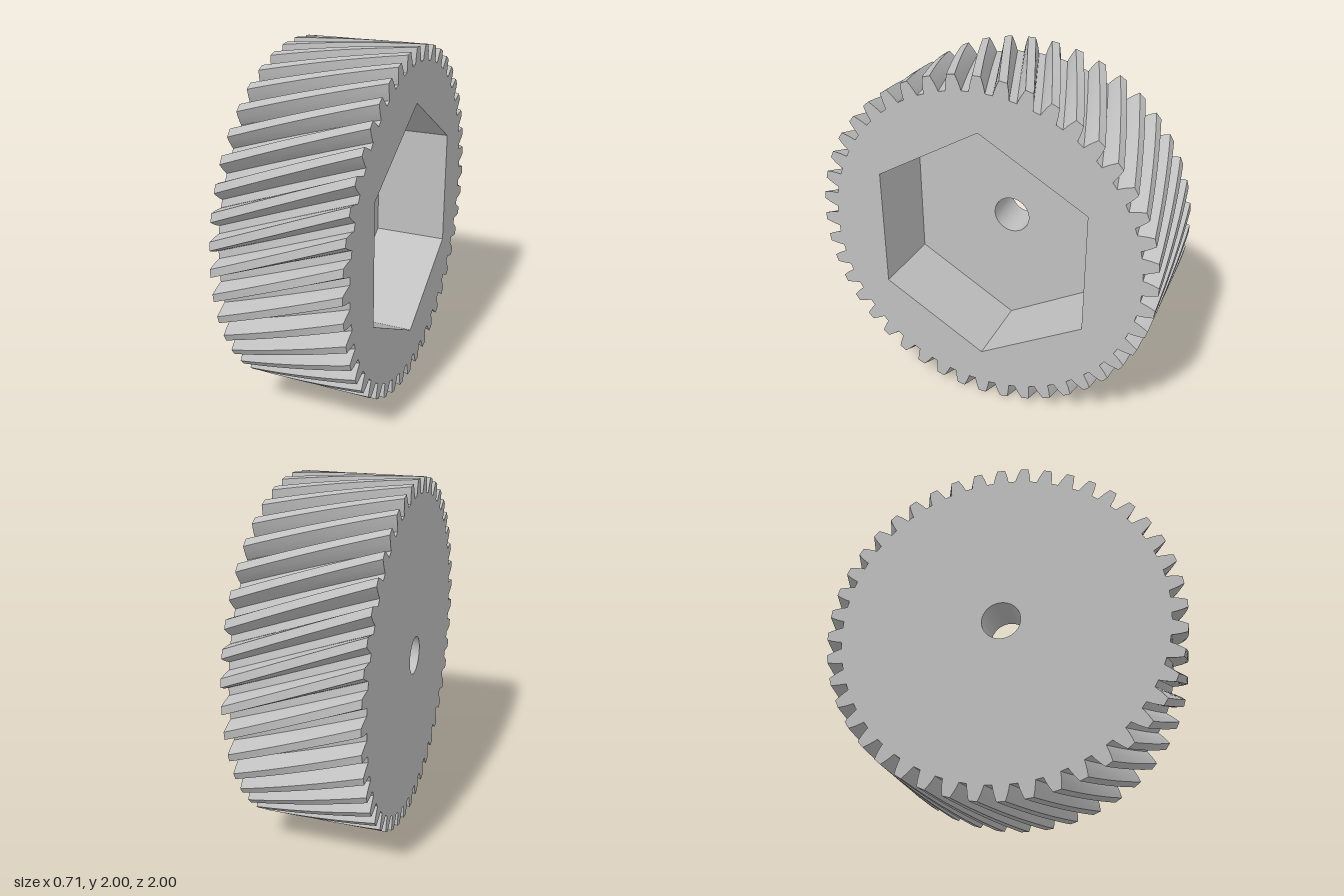
import * as THREE from 'three';
import { toCreasedNormals } from 'three/addons/utils/BufferGeometryUtils.js';

const HALF = 0.357;        // half the face width
const FLOOR = -0.093;      // bottom of the hexagonal pocket
const TEETH = 44;
const TWIST = 0.28;        // helix rotation over the full width
const BORE = 0.109, HEX = 0.699;

const polar = (r, t) => new THREE.Vector2(r * Math.cos(t), r * Math.sin(t));

// Counter-clockwise regular polygon with one corner at the top
const polygon = (r, n) =>
  Array.from({ length: n }, (_, i) => polar(r, Math.PI / 2 + (i * 2 * Math.PI) / n));

// Gear outline: slightly curved flanks, one tooth centred at the top
function gearOutline() {
  const tooth = [[0.915, -0.049], [0.94, -0.043], [0.965, -0.0355], [1, -0.023],
    [1, 0.023], [0.965, 0.0355], [0.94, 0.043], [0.915, 0.049]];
  const points = [];
  for (let i = 0; i < TEETH; i++) {
    const mid = Math.PI / 2 + (i * 2 * Math.PI) / TEETH;
    for (const [r, a] of tooth) points.push(polar(r, mid + a));
  }
  return points;
}

// Rotation of the tooth outline at depth w along the axis
const twistAt = (w) => (-TWIST * (w - HALF)) / (2 * HALF);
const turned = (points, angle) =>
  points.map((p) => p.clone().rotateAround(new THREE.Vector2(), angle));

// Side wall swept along the axis, facing outward or inward
function wall(points, w0, w1, { steps = 1, twist = false, inward = false } = {}) {
  const pos = [], index = [], n = points.length;
  for (let s = 0; s <= steps; s++) {
    const w = w0 + ((w1 - w0) * s) / steps;
    for (const p of turned(points, twist ? twistAt(w) : 0)) pos.push(p.x, p.y, w);
  }
  for (let s = 0; s < steps; s++) {
    for (let i = 0; i < n; i++) {
      const a = s * n + i, b = s * n + ((i + 1) % n);
      index.push(a, b, b + n, a, b + n, a + n);
    }
  }
  if (inward) index.reverse();
  const geo = new THREE.BufferGeometry();
  geo.setAttribute('position', new THREE.Float32BufferAttribute(pos, 3));
  geo.setIndex(index);
  return toCreasedNormals(geo, 0.5);
}

// Flat face with a hole, facing along the axis or against it
function face(outline, hole, w, backward = false) {
  const shape = new THREE.Shape(outline);
  shape.holes.push(new THREE.Path(hole));
  const geo = new THREE.ShapeGeometry(shape);
  geo.translate(0, 0, w);
  if (backward) {
    geo.setIndex(Array.from(geo.index.array).reverse());
    geo.computeVertexNormals();
  }
  return geo;
}

export function createModel() {
  const steel = new THREE.MeshStandardMaterial({ color: 0xc0c0c0 });
  steel.name = 'light grey';
  const group = new THREE.Group();
  group.name = 'helicalGear';
  const add = (name, geo) => {
    const mesh = new THREE.Mesh(geo, steel);
    mesh.name = name;
    group.add(mesh);
  };

  const gear = gearOutline();
  const hex = polygon(HEX, 6);
  const bore = polygon(BORE, 64);

  // Helical toothed rim
  add('helicalTeeth', wall(gear, -HALF, HALF, { steps: 20, twist: true }));
  // End faces
  add('pocketSideFace', face(gear, hex, HALF));
  add('plainSideFace', face(turned(gear, twistAt(-HALF)), bore, -HALF, true));
  // Hexagonal pocket and shaft hole
  add('hexPocketWalls', wall(hex, FLOOR, HALF, { inward: true }));
  add('hexPocketFloor', face(hex, bore, FLOOR));
  add('shaftHole', wall(bore, -HALF, FLOOR, { inward: true }));

  // Lay the axis along x and stand the gear on the ground
  group.rotation.y = Math.PI / 2;
  group.position.y = 1;
  const model = new THREE.Group();
  model.name = 'gearModel';
  model.add(group);
  return model;
}
